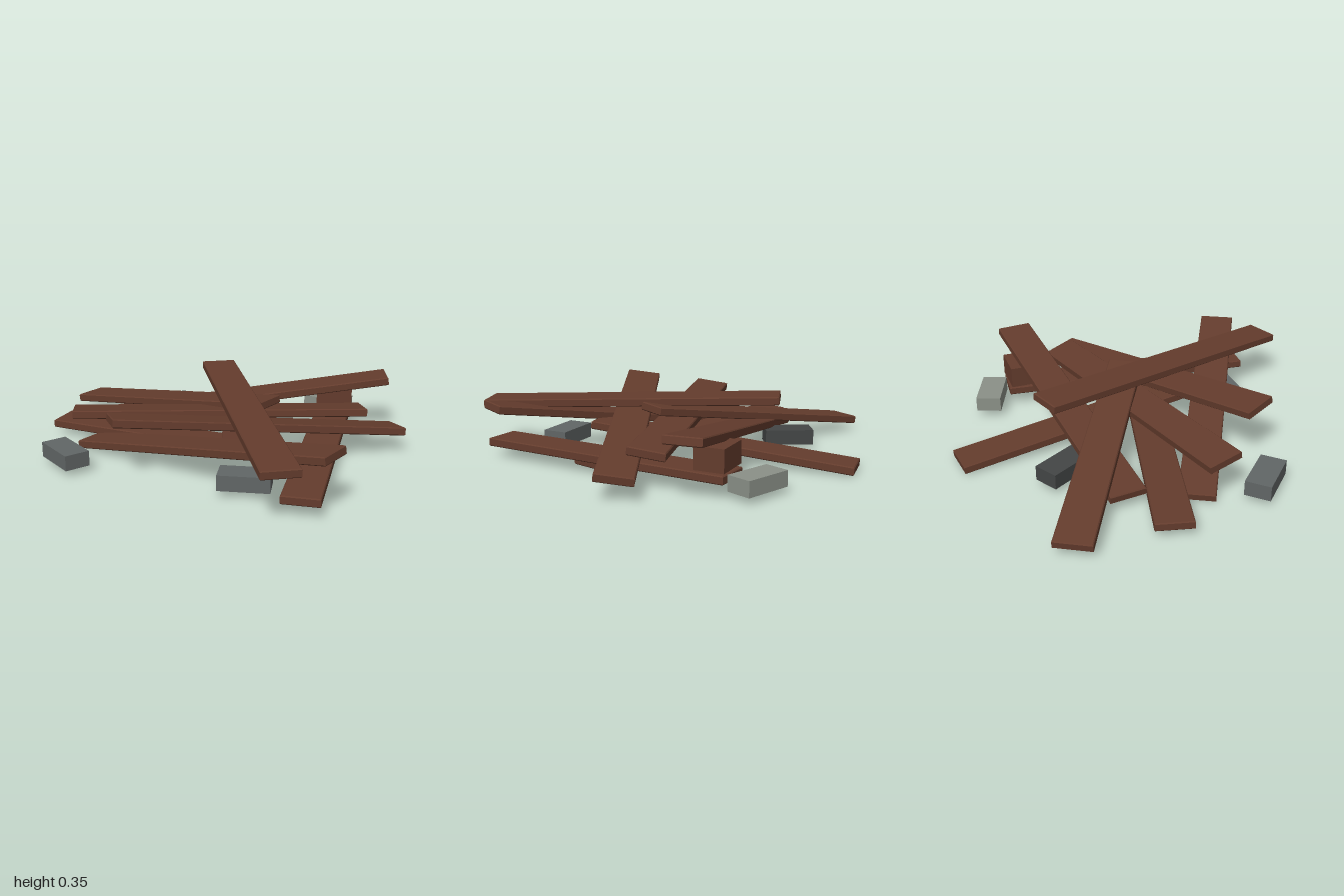
import * as THREE from 'three';

const PLANK_WIDTH = 0.19;
const PLANK_THICKNESS = 0.044;
const BEVEL = 0.005;

function flat(name, color) {
  const material = new THREE.MeshStandardMaterial({ color });
  material.name = name;
  return material;
}

// Board of the given length along x, with slightly bevelled edges
function plankGeometry(length) {
  const x = length / 2 - BEVEL;
  const y = PLANK_WIDTH / 2 - BEVEL;
  const outline = new THREE.Shape();
  outline.moveTo(-x, -y);
  outline.lineTo(x, -y);
  outline.lineTo(x, y);
  outline.lineTo(-x, y);
  outline.closePath();
  const depth = PLANK_THICKNESS - 2 * BEVEL;
  const geometry = new THREE.ExtrudeGeometry(outline, {
    depth, bevelEnabled: true, bevelSize: BEVEL, bevelThickness: BEVEL, bevelSegments: 1,
  });
  geometry.translate(0, 0, -depth / 2);
  geometry.rotateX(-Math.PI / 2);
  return geometry;
}

// Plank laid between the centres of its two ends, rolled about its length
function makePlank(name, from, to, roll, material) {
  const a = new THREE.Vector3(...from);
  const b = new THREE.Vector3(...to);
  const along = b.clone().sub(a).normalize();
  const side = along.clone().cross(new THREE.Vector3(0, 1, 0)).normalize();
  const up = side.clone().cross(along);
  const plank = new THREE.Mesh(plankGeometry(a.distanceTo(b)), material);
  plank.name = name;
  plank.quaternion.setFromRotationMatrix(new THREE.Matrix4().makeBasis(along, up, side));
  plank.rotateX(roll);
  plank.position.copy(a).add(b).multiplyScalar(0.5);
  return plank;
}

function makeBlock(name, size, position, turn, material) {
  const block = new THREE.Mesh(new THREE.BoxGeometry(...size), material);
  block.name = name;
  block.position.set(...position);
  block.rotation.y = turn;
  return block;
}

export function createModel() {
  const wood = flat('brown wood', 0x643c2d);
  const paleStone = flat('pale stone', 0x8b9188);
  const greyStone = flat('grey stone', 0x616666);
  const darkStone = flat('dark stone', 0x444646);

  const model = new THREE.Group();
  model.name = 'plankPile';

  // Heap of planks: name, end, other end, roll
  const planks = [
    ['backPlank', [-0.025, 0.033, -0.99], [0.145, 0.157, 0.42], 0],
    ['lowPlank', [-0.965, 0.07, -0.18], [0.585, 0.055, 0.215], 0],
    ['sidePlank', [0.6, 0.1, -0.58], [0.47, 0.088, 0.835], 0],
    ['risingFrontPlank', [-0.74, 0.028, 0.03], [0.62, 0.295, 0.77], 0],
    ['risingBackPlank', [-0.68, 0.08, -0.3], [0.885, 0.317, -0.46], 0],
    ['cornerPlank', [-0.94, 0.07, -0.66], [0.255, 0.288, 0.03], 0],
    ['middlePlank', [-0.79, 0.23, 0.155], [0.755, 0.195, -0.21], -0.13],
    ['slopingPlank', [-0.5, 0.31, 0.485], [0.945, 0.115, -0.15], -0.13],
    ['topPlank', [-0.105, 0.332, -0.545], [0.39, 0.27, 0.965], 0],
  ];
  for (const [name, from, to, roll] of planks) {
    model.add(makePlank(name, from, to, roll, wood));
  }

  // Wooden block propping up the rising back plank
  model.add(makeBlock('woodBlock', [0.2, 0.115, 0.155], [0.592, 0.19, -0.498], 0, wood));

  // Bricks scattered around the heap
  const brick = [0.26, 0.08, 0.135];
  model.add(makeBlock('backLeftBrick', brick, [0.555, 0.08, -0.685], -0.37, paleStone));
  model.add(makeBlock('backRightBrick', brick, [-0.325, 0.08, -0.515], -1.05, darkStone));
  model.add(makeBlock('frontRightBrick', brick, [-0.77, 0.08, 0.386], -0.785, greyStone));
  model.add(makeBlock('frontBrick', brick, [0.19, 0.08, 0.592], 0, greyStone));

  return model;
}
